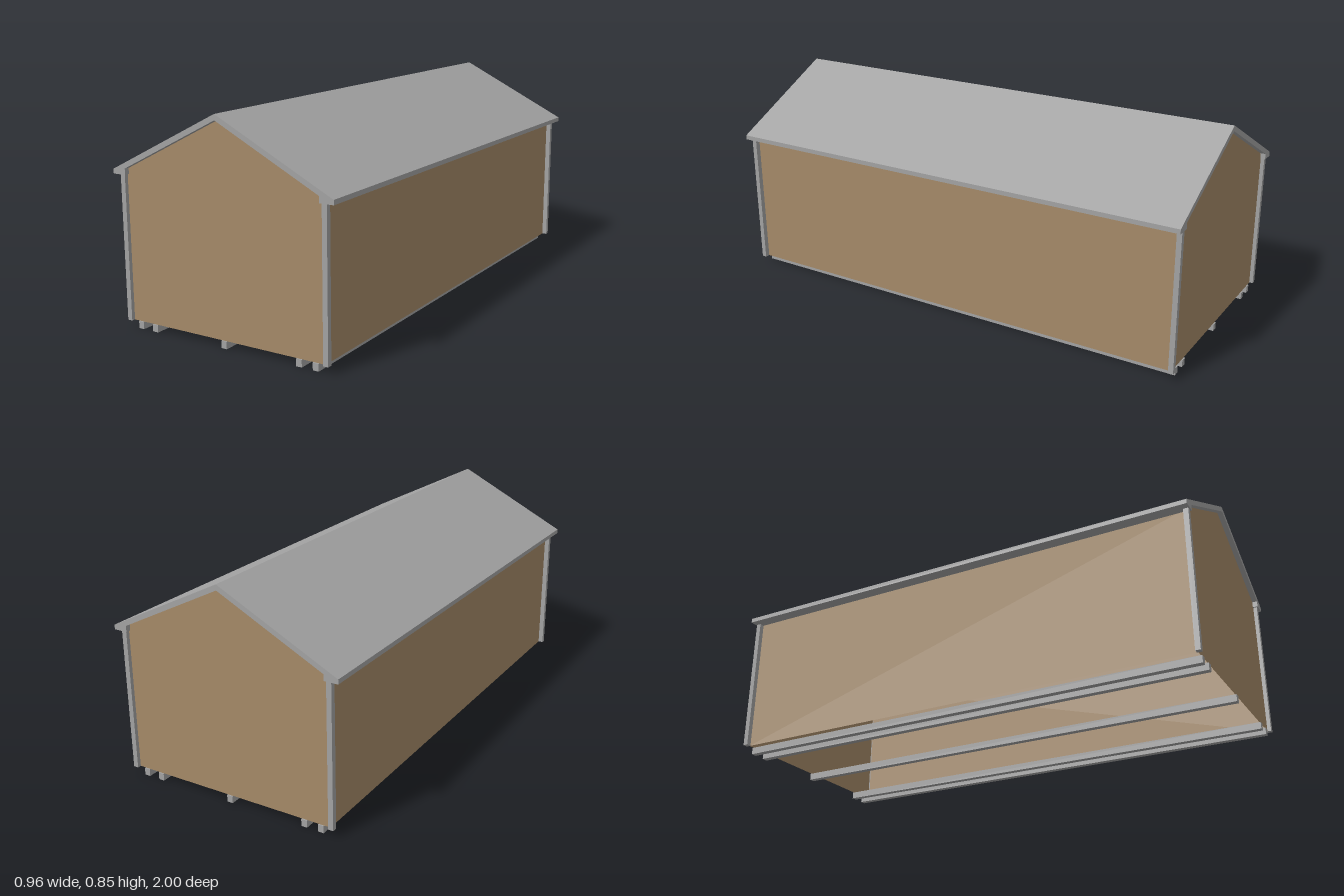
import * as THREE from 'three';

export function createModel() {
  const group = new THREE.Group();
  const grey = new THREE.MeshStandardMaterial({ name: 'grey metal', color: 0xa3a3a3 });
  const brown = new THREE.MeshStandardMaterial({ name: 'brown panel', color: 0xa58a68, side: THREE.DoubleSide });

  const add = (name, geometry, material, x = 0, y = 0, z = 0) => {
    const mesh = new THREE.Mesh(geometry, material);
    mesh.name = name;
    mesh.position.set(x, y, z);
    group.add(mesh);
    return mesh;
  };
  const outline = (points) => new THREE.Shape(points.map(([x, y]) => new THREE.Vector2(x, y)));

  const base = 0.028, wallX = 0.43, wallZ = 0.98, eave = 0.59;

  // Roof: one folded sheet with square eaves
  const roof = new THREE.ExtrudeGeometry(outline([
    [-0.48, eave], [-0.424, eave], [-0.424, 0.614], [0, 0.826], [0.424, 0.614],
    [0.424, eave], [0.48, eave], [0.48, 0.608], [0, 0.848], [-0.48, 0.608],
  ]), { depth: 2, bevelEnabled: false });
  add('roof', roof, grey, 0, 0, -1);

  // Gable end walls
  const gable = new THREE.ShapeGeometry(outline([
    [-wallX, base], [wallX, base], [wallX, 0.61], [0, 0.825], [-wallX, 0.61],
  ]));
  add('frontWall', gable, brown, 0, 0, wallZ);
  add('backWall', gable, brown, 0, 0, -wallZ).rotation.y = Math.PI;

  const slope = Math.atan2(0.21, 0.424);
  for (const s of [1, -1]) {
    const side = s > 0 ? 'left' : 'right';
    // Long side wall
    const wall = new THREE.PlaneGeometry(2 * wallZ, 0.6 - base);
    add(side + 'Wall', wall, brown, s * wallX, (0.6 + base) / 2, 0).rotation.y = s * Math.PI / 2;

    // Sloping ceiling panel under the roof
    const ceiling = new THREE.PlaneGeometry(Math.hypot(0.424, 0.21), 2 * wallZ);
    ceiling.rotateX(Math.PI / 2).rotateZ(-s * slope);
    add(side + 'Ceiling', ceiling, brown, s * 0.212, 0.718, 0);

    // Corner posts
    for (const e of [1, -1]) {
      add(side + (e > 0 ? 'FrontPost' : 'BackPost'),
        new THREE.BoxGeometry(0.02, eave - base, 0.02), grey, s * 0.44, (eave + base) / 2, e * 0.985);
    }
  }

  // Skids running the full length; the underside stays open
  [-0.393, -0.324, 0, 0.324, 0.393].forEach((x, i) =>
    add('skid' + (i + 1), new THREE.BoxGeometry(0.024, base, 1.97), grey, x, base / 2, 0));

  return group;
}
